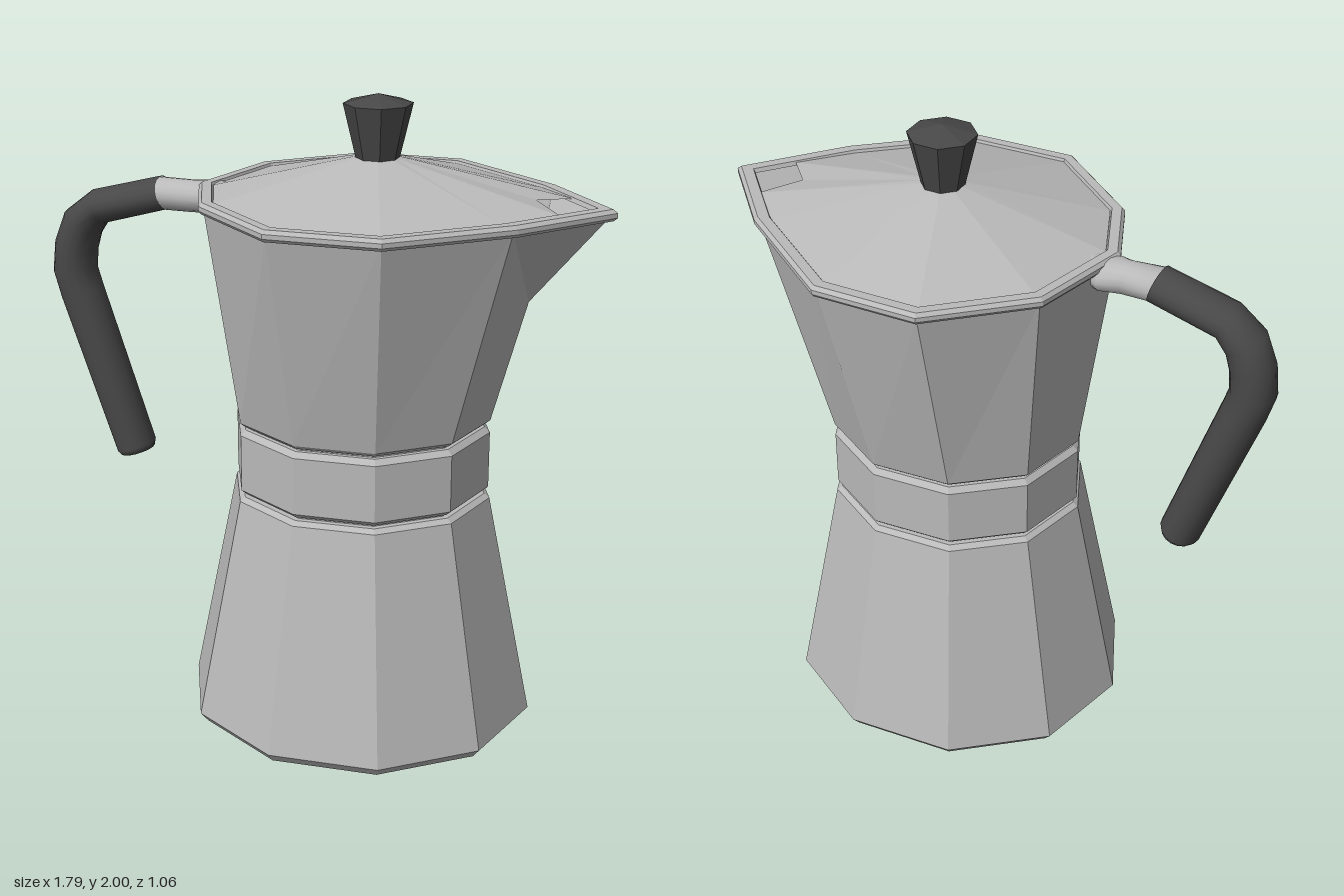
import * as THREE from 'three';

const metal = new THREE.MeshStandardMaterial({ color: 0xbababa, side: THREE.DoubleSide });
metal.name = 'brushed metal';
const dark = new THREE.MeshStandardMaterial({ color: 0x484848, side: THREE.DoubleSide });
dark.name = 'dark plastic';

const SIDES = 10;
const V = (x, y, z) => new THREE.Vector3(x, y, z);

// Skin a list of equal-length rings, with optional fan caps
function loft(rings, { smooth = false, start = null, end = null } = {}) {
  const n = rings[0].length, pts = rings.flat(), idx = [];
  for (let i = 0; i < rings.length - 1; i++) {
    for (let j = 0; j < n; j++) {
      const a = i * n + j, b = i * n + (j + 1) % n;
      idx.push(a, a + n, b, b, a + n, b + n);
    }
  }
  const last = (rings.length - 1) * n;
  if (start) {
    const c = pts.push(start) - 1;
    for (let j = 0; j < n; j++) idx.push(c, j, (j + 1) % n);
  }
  if (end) {
    const c = pts.push(end) - 1;
    for (let j = 0; j < n; j++) idx.push(c, last + (j + 1) % n, last + j);
  }
  let g = new THREE.BufferGeometry().setFromPoints(pts);
  g.setIndex(idx);
  if (!smooth) g = g.toNonIndexed();
  g.computeVertexNormals();
  return g;
}

// Ten-sided ring of the pot, turned slightly
function ring(y, r, cx = 0.128) {
  return Array.from({ length: SIDES }, (_, i) => {
    const a = THREE.MathUtils.degToRad(-5 + 36 * i);
    return V(cx + r * Math.cos(a), y, 0.94 * r * Math.sin(a));
  });
}
const stack = (profile) => loft(profile.map(([y, r]) => ring(y, r)),
  { start: V(0.128, profile[0][0], 0), end: V(0.128, profile.at(-1)[0], 0) });

// Outline of the mouth in x, z; the first point is the spout tip
const MOUTH = [[0.87, -0.03], [0.65, 0.24], [0.345, 0.5], [0.01, 0.515], [-0.27, 0.29],
  [-0.37, 0.05], [-0.29, -0.27], [-0.03, -0.505], [0.29, -0.515], [0.645, -0.27]];
const mouth = (y, s) => MOUTH.map(([x, z]) => V(0.14 + (x - 0.14) * s, y, z * s));

// Elliptical tube along points [x, y, z, halfHeight, halfWidth] in a vertical plane
function tube(path, sides = 16) {
  const rings = path.map(([x, y, z, h, w], i) => {
    const p = path[Math.max(i - 1, 0)], q = path[Math.min(i + 1, path.length - 1)];
    const t = new THREE.Vector2(q[0] - p[0], q[1] - p[1]).normalize();
    return Array.from({ length: sides }, (_, j) => {
      const a = (j / sides) * Math.PI * 2;
      return V(x - t.y * h * Math.sin(a), y + t.x * h * Math.sin(a), z + w * Math.cos(a));
    });
  });
  const f = path[0], l = path.at(-1);
  return loft(rings, { smooth: true, start: V(f[0], f[1], f[2]), end: V(l[0], l[1], l[2]) });
}

export function createModel() {
  const group = new THREE.Group();
  const add = (name, geometry, material) => {
    const mesh = new THREE.Mesh(geometry, material);
    mesh.name = name;
    group.add(mesh);
    return mesh;
  };

  // Boiler, collar band and the recessed neck between them
  add('boiler', stack([[0, 0.535], [0.03, 0.56], [0.75, 0.412], [0.763, 0.395]]), metal);
  add('neckCore', stack([[0.74, 0.375], [1.01, 0.375]]), metal);
  add('collarBand', stack([[0.772, 0.39], [0.787, 0.407], [0.968, 0.407], [0.985, 0.39]]), metal);

  // Upper jug; its front corner stops where the spout begins
  const top = mouth(1.68, 1);
  const tip = top[0];
  const root = V(0.64, 1.4, -0.03);
  const foot = ring(1.008, 0.407);
  add('jugFoot', loft([ring(0.994, 0.39), foot], { start: V(0.128, 0.994, 0) }), metal);
  add('jug', loft([foot, [root, ...top.slice(1)]]), metal);

  // Pointed spout
  const spout = new THREE.BufferGeometry().setFromPoints(
    [top[1], root, tip, root, top[9], tip]);
  spout.computeVertexNormals();
  add('spout', spout, metal);

  // Rolled rim
  add('rim', loft([mouth(1.665, 0.985), mouth(1.668, 1.015), mouth(1.678, 1.03), mouth(1.692, 1.03),
    mouth(1.703, 1.01), mouth(1.703, 0.95), mouth(1.69, 0.94)]), metal);

  // Faceted lid with a pouring notch
  const edge = mouth(1.695, 0.94).slice(1);
  const lidRing = [V(0.65, 1.712, -0.03), V(0.75, 1.697, 0.08), ...edge, V(0.74, 1.697, -0.14)];
  const lidTop = lidRing.map((p) => {
    const d = Math.hypot(p.x - 0.172, p.z);
    return V(0.172 + (p.x - 0.172) / d * 0.065, 1.81, p.z / d * 0.065);
  });
  add('lid', loft([lidRing, lidTop], { end: V(0.172, 1.812, 0) }), metal);

  // Eight-sided knob with a shallow peak
  const knobRing = (y, r) => Array.from({ length: 8 }, (_, i) => {
    const a = (i + 0.5) * Math.PI / 4;
    return V(0.172 + r * Math.cos(a), y, r * Math.sin(a));
  });
  add('knob', loft([knobRing(1.8, 0.064), knobRing(1.972, 0.105)],
    { start: V(0.172, 1.8, 0), end: V(0.172, 2, 0) }), dark);

  // Metal bracket and bent grip
  add('handleBracket', tube([[-0.27, 1.665, 0, 0.035, 0.03], [-0.36, 1.65, 0.015, 0.05, 0.075],
    [-0.42, 1.648, 0.02, 0.05, 0.055], [-0.53, 1.65, 0.025, 0.05, 0.063]]), metal);
  add('handleGrip', tube([[-0.515, 1.652, 0.025, 0.053, 0.068], [-0.735, 1.592, 0.03, 0.056, 0.07],
    [-0.795, 1.535, 0.03, 0.066, 0.073], [-0.822, 1.46, 0.03, 0.068, 0.075],
    [-0.83, 1.38, 0.03, 0.07, 0.075], [-0.81, 1.31, 0.03, 0.069, 0.075],
    [-0.638, 0.8, 0.03, 0.065, 0.07], [-0.633, 0.782, 0.03, 0.055, 0.06]]), dark);

  return group;
}
